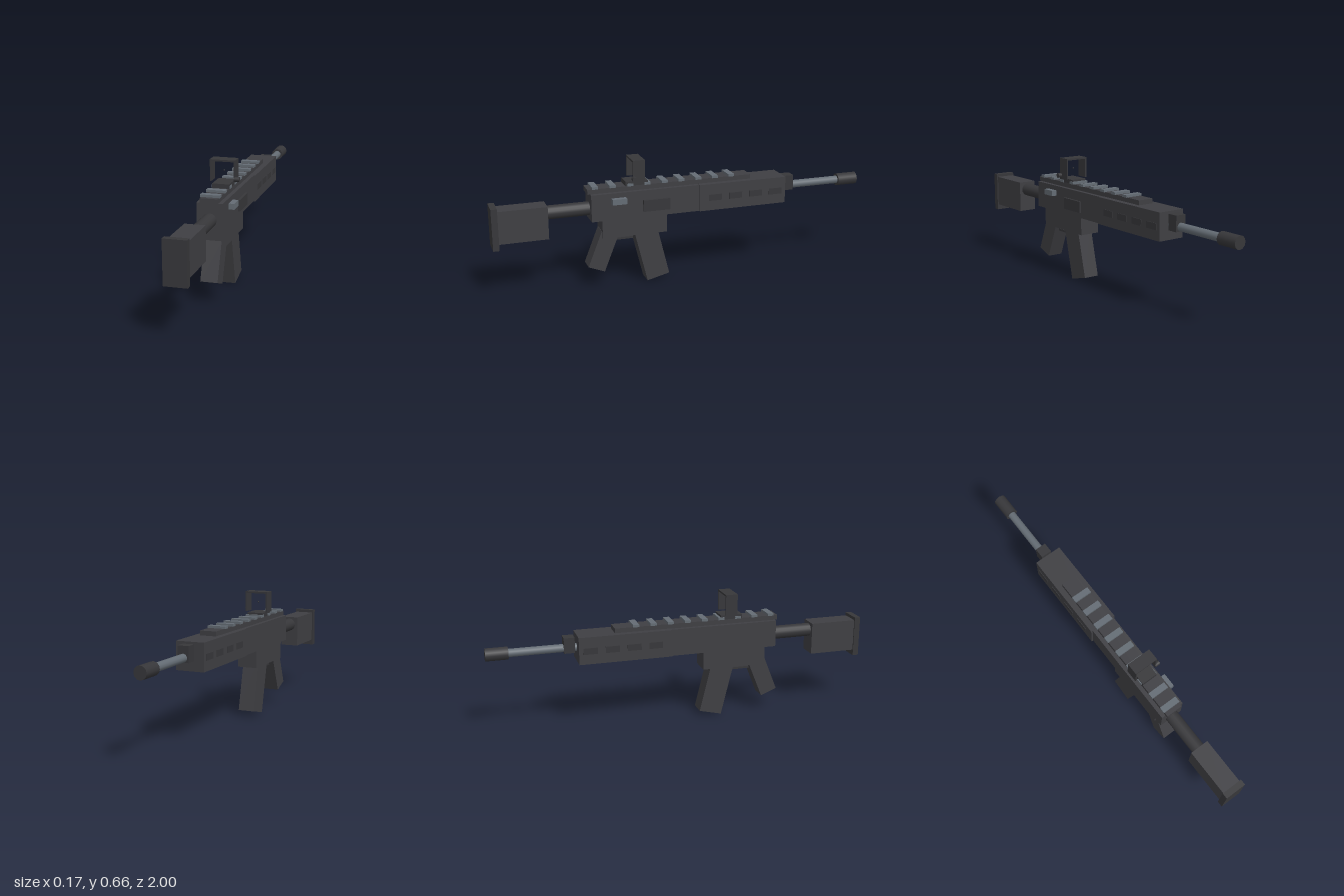
import * as THREE from 'three';

export function createModel() {
  const mat = (name, color) => {
    const m = new THREE.MeshStandardMaterial({ color });
    m.name = name;
    return m;
  };
  const body = mat('charcoal body', 0x3f3f43);
  const dark = mat('dark metal', 0x37373a);
  const steel = mat('grey steel', 0x646c74);

  const model = new THREE.Group();
  model.name = 'blockRifle';
  model.position.x = -0.0075; // side knobs and handle shift the overall centre

  const add = (name, geometry, material, x, y, z) => {
    const mesh = new THREE.Mesh(geometry, material);
    mesh.name = name;
    mesh.position.set(x, y, z);
    model.add(mesh);
    return mesh;
  };
  // Box given by centre x, width, and its y and z ranges
  const box = (name, material, x, w, y0, y1, z0, z1) =>
    add(name, new THREE.BoxGeometry(w, y1 - y0, z1 - z0), material, x, (y0 + y1) / 2, (z0 + z1) / 2);
  // Cylinder lying along z
  const rod = (name, material, r, y, z0, z1, sides) =>
    add(name, new THREE.CylinderGeometry(r, r, z1 - z0, sides).rotateX(Math.PI / 2), material, 0, y, (z0 + z1) / 2);
  // Tilted box hanging upward from the centre of its bottom face
  const tilted = (name, w, length, depth, y, z, angle) => {
    const g = new THREE.BoxGeometry(w, length, depth).translate(0, length / 2, 0);
    add(name, g, body, 0, y, z).rotation.x = angle;
  };

  // Receiver and handguard
  box('upperReceiver', body, 0, 0.128, 0.36, 0.5, -0.065, 0.506);
  box('lowerReceiver', body, 0, 0.11, 0.264, 0.362, 0.11, 0.45);
  box('handguard', body, 0, 0.147, 0.36, 0.501, -0.546, -0.065);
  for (const side of [-1, 1])
    for (let i = 0; i < 4; i++) {
      const z = -0.15 - i * 0.1125;
      box('handguardVent', dark, side * 0.0735, 0.006, 0.412, 0.445, z - 0.036, z + 0.036);
    }

  // Details on the left side
  box('ejectionPort', dark, 0.069, 0.014, 0.39, 0.45, 0.097, 0.238);
  box('chargingHandle', steel, 0.077, 0.029, 0.446, 0.475, 0.328, 0.403);

  // Stock
  rod('bufferTube', dark, 0.035, 0.416, 0.5, 0.73, 16);
  box('stock', body, 0, 0.1, 0.292, 0.46, 0.722, 0.972);
  box('buttPlate', dark, 0, 0.113, 0.262, 0.476, 0.969, 1);

  // Barrel
  rod('barrel', steel, 0.021, 0.434, -0.9, -0.54, 12);
  rod('muzzle', dark, 0.033, 0.434, -1, -0.887, 12);
  box('gasBlock', dark, 0, 0.058, 0.412, 0.492, -0.613, -0.558);

  // Grip, magazine and guard bar
  tilted('grip', 0.086, 0.2, 0.091, 0.097, 0.484, -0.38);
  tilted('magazine', 0.086, 0.285, 0.122, 0.0145, 0.154, 0.24);
  box('triggerGuard', dark, 0, 0.03, 0.235, 0.246, 0.28, 0.385);

  // Top rail with cross ribs
  box('topRail', body, 0, 0.086, 0.5, 0.525, -0.356, 0.52);
  for (let i = 0; i < 9; i++) {
    const z = 0.481 - i * 0.0909;
    box('railRib', steel, 0, 0.096, 0.524, 0.537, z - 0.016, z + 0.016);
  }

  // Open-frame sight
  box('sightBase', dark, 0, 0.086, 0.524, 0.547, 0.206, 0.322);
  box('sightTop', dark, 0, 0.128, 0.65, 0.659, 0.226, 0.289);
  for (const side of [-1, 1])
    box('sightSide', dark, side * 0.06, 0.008, 0.55, 0.651, 0.226, 0.289);
  add('sightKnob', new THREE.CylinderGeometry(0.0125, 0.0125, 0.027, 12).rotateZ(Math.PI / 2), dark, 0.071, 0.565, 0.283);
  add('sightDot', new THREE.SphereGeometry(0.004, 8, 6), dark, 0, 0.601, 0.257);

  return model;
}
